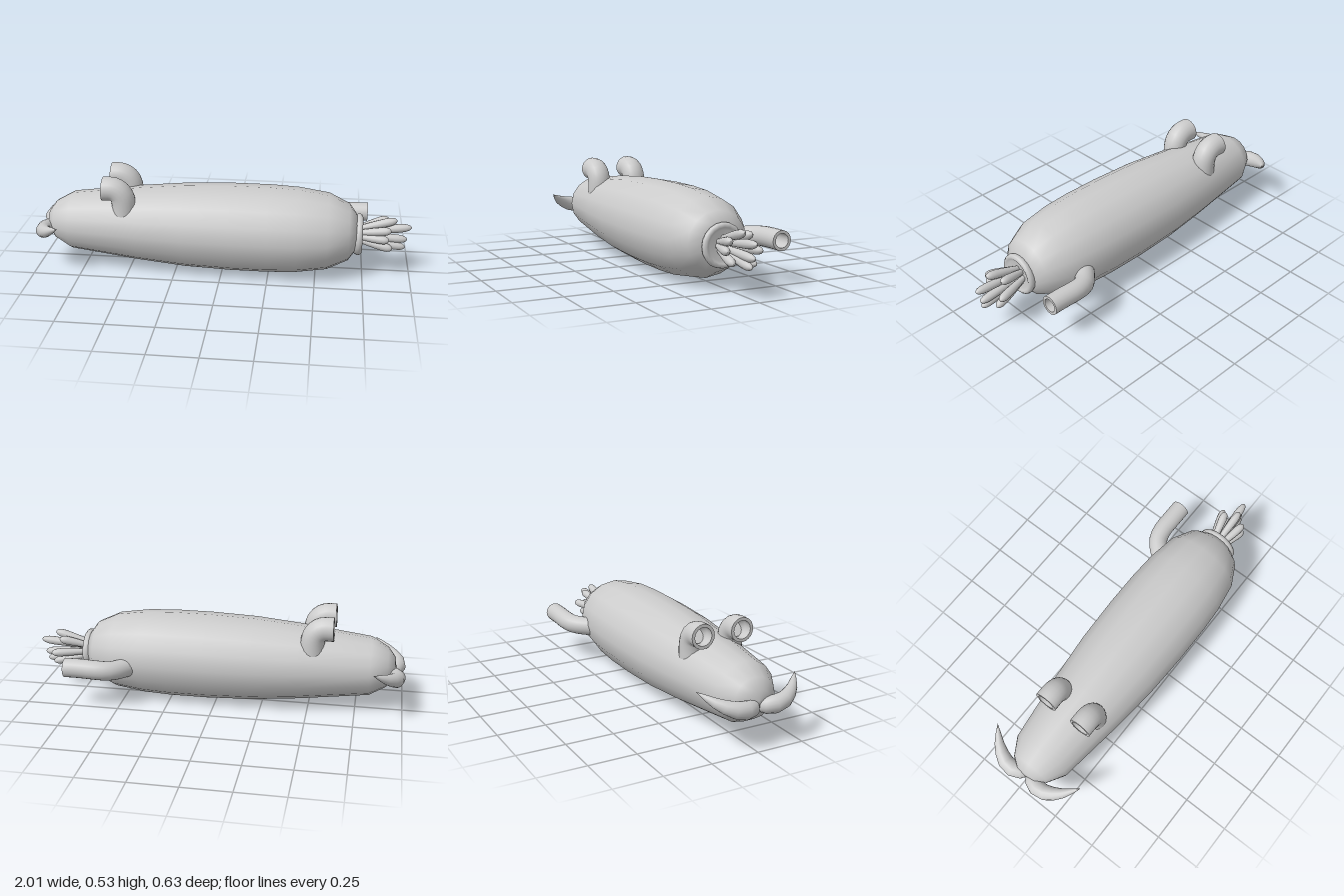
import * as THREE from 'three';

const CZ = 0.033; // lengthwise axis of the creature
const CY = 0.234;
const material = new THREE.MeshStandardMaterial({ color: 0xcccccc });
const vec = (p) => new THREE.Vector3(...p);

function addMesh(parent, geometry, name) {
  const mesh = new THREE.Mesh(geometry, material);
  mesh.name = name;
  parent.add(mesh);
  return mesh;
}

// Sweep rings along a smooth path; stations are [position 0..1, radius].
// A repeated station makes a sharp edge.
function sweep(path, stations, sides = 16) {
  const curve = new THREE.CatmullRomCurve3(path.map(vec));
  const steps = 100;
  const frames = curve.computeFrenetFrames(steps);
  const positions = [];
  const index = [];
  stations.forEach(([t, r], i) => {
    const centre = curve.getPointAt(t);
    const f = Math.round(t * steps);
    for (let j = 0; j < sides; j++) {
      const a = (j / sides) * Math.PI * 2;
      const p = centre.clone()
        .addScaledVector(frames.normals[f], r * Math.cos(a))
        .addScaledVector(frames.binormals[f], r * Math.sin(a));
      positions.push(p.x, p.y, p.z);
    }
    const prev = stations[i - 1];
    if (!prev || (prev[0] === t && prev[1] === r)) return;
    for (let j = 0; j < sides; j++) {
      const a = (i - 1) * sides + j;
      const b = (i - 1) * sides + ((j + 1) % sides);
      index.push(a, b, a + sides, b, b + sides, a + sides);
    }
  });
  const geometry = new THREE.BufferGeometry();
  geometry.setAttribute('position', new THREE.Float32BufferAttribute(positions, 3));
  geometry.setIndex(index);
  geometry.computeVertexNormals();
  return geometry;
}

// Bent pipe with a wall, a flat rim and a closed hollow
function pipe(path, outer, inner) {
  const stations = [];
  for (let i = 0; i <= 12; i++) stations.push([i / 12, outer]);
  stations.push([1, outer], [1, inner], [1, inner], [0.8, inner], [0.6, inner], [0.6, inner], [0.6, 0]);
  return sweep(path, stations, 20);
}

// Solid of revolution about the x axis; profile is [x, radius]
function latheX(profile, sides) {
  const points = profile.map(([x, r]) => new THREE.Vector2(r, x));
  return new THREE.LatheGeometry(points, sides).rotateZ(-Math.PI / 2);
}

export function createModel() {
  const model = new THREE.Group();
  model.name = 'seaCreature';

  // Long, slightly wide body
  const body = addMesh(model, latheX([
    [-0.955, 0], [-0.948, 0.055], [-0.91, 0.105], [-0.82, 0.155], [-0.45, 0.2],
    [-0.2, 0.223], [0.05, 0.232], [0.25, 0.232], [0.4, 0.225], [0.56, 0.202],
    [0.67, 0.15], [0.71, 0.095], [0.722, 0],
  ], 16).scale(1, 1, 1.07), 'body');
  body.position.set(0, CY, CZ);

  // Rounded lip around the mouth
  const lip = addMesh(model, latheX([
    [0.69, 0.09], [0.705, 0.105], [0.72, 0.112], [0.733, 0.109], [0.741, 0.1],
    [0.738, 0.088], [0.73, 0.075], [0.726, 0],
  ], 20), 'mouthLip');
  lip.position.set(0, 0.222, CZ);

  // Feelers fanning out of the mouth: tip x, y, z
  const feelers = new THREE.Group();
  feelers.name = 'feelers';
  model.add(feelers);
  const feelerStations = [
    [0, 0.013], [0.25, 0.017], [0.5, 0.021], [0.75, 0.023], [0.87, 0.021],
    [0.94, 0.016], [0.98, 0.009], [1, 0],
  ];
  [
    [0.92, 0.312, 0.035], [0.88, 0.294, -0.032], [0.89, 0.272, 0.089], [1.0, 0.268, 0.018],
    [0.92, 0.22, -0.064], [0.88, 0.221, 0.1], [0.98, 0.197, 0.016], [0.9, 0.165, 0.08],
    [0.97, 0.155, 0.025], [0.92, 0.158, -0.03],
  ].forEach(([x, y, z]) => {
    const start = [0.71, 0.222 + (y - 0.222) * 0.35, CZ + (z - CZ) * 0.35];
    const middle = start.map((s, k) => (s + [x, y, z][k]) / 2);
    addMesh(feelers, sweep([start, middle, [x, y, z]], feelerStations, 12), 'feeler');
  });

  for (const side of [-1, 1]) {
    // Curved horns at the tail end
    const horn = [
      [-0.92, 0.205, 0.01], [-0.955, 0.205, 0.06], [-0.96, 0.214, 0.12],
      [-0.918, 0.243, 0.2], [-0.838, 0.293, 0.277],
    ].map(([x, y, z]) => [x, y, CZ + side * z]);
    addMesh(model, sweep(horn, [
      [0, 0], [0, 0.03], [0.12, 0.042], [0.25, 0.045], [0.4, 0.041], [0.55, 0.034],
      [0.7, 0.025], [0.85, 0.014], [1, 0],
    ]), side > 0 ? 'leftHorn' : 'rightHorn');

    // Pair of bent pipes on the back, open towards the tail
    const z = CZ + side * 0.11;
    addMesh(model, pipe([
      [-0.515, 0.32, z], [-0.516, 0.39, z], [-0.53, 0.437, z],
      [-0.565, 0.463, z], [-0.625, 0.465, z],
    ], 0.063, 0.047), side > 0 ? 'leftBackPipe' : 'rightBackPipe');
  }

  // Single pipe on the rear flank, open towards the mouth
  addMesh(model, pipe([
    [0.43, 0.21, -0.12], [0.49, 0.212, -0.2], [0.54, 0.217, -0.247],
    [0.6, 0.224, -0.264], [0.69, 0.228, -0.265], [0.775, 0.228, -0.265],
  ], 0.051, 0.036), 'sidePipe');

  return model;
}
